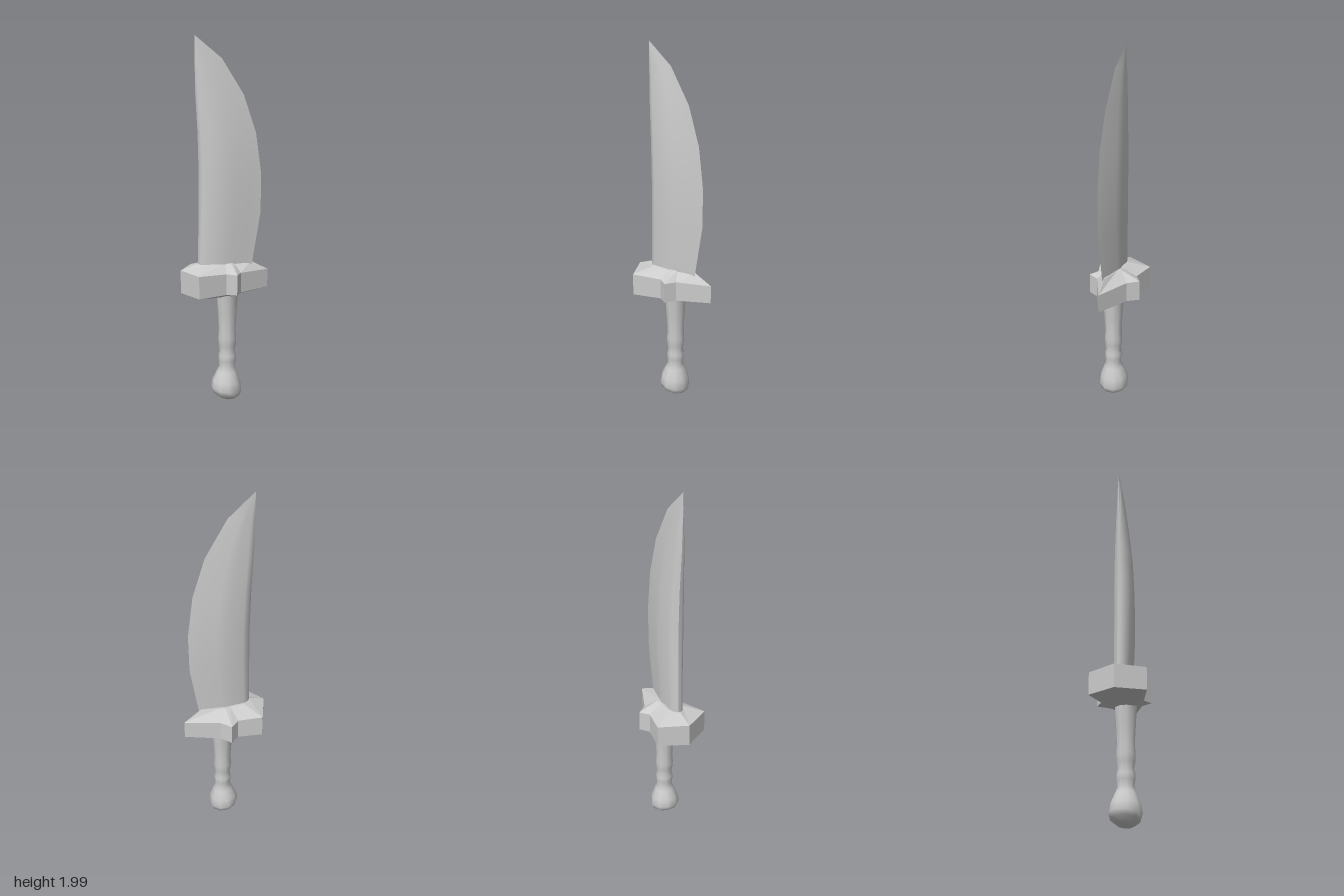
import * as THREE from 'three';
import { toCreasedNormals } from 'three/addons/utils/BufferGeometryUtils.js';

// Skin a stack of closed rings (bottom to top, each running from +x towards +z)
function loft(rings, crease) {
  const n = rings[0].length, index = [];
  for (let i = 0; i < rings.length - 1; i++) {
    for (let j = 0; j < n; j++) {
      const a = i * n + j, b = i * n + (j + 1) % n;
      index.push(a, a + n, b, b, a + n, b + n);
    }
  }
  const geo = new THREE.BufferGeometry();
  geo.setAttribute('position', new THREE.Float32BufferAttribute(rings.flat(2), 3));
  geo.setIndex(index);
  return toCreasedNormals(geo, crease);
}

function addMesh(group, name, geometry) {
  const mesh = new THREE.Mesh(geometry, new THREE.MeshStandardMaterial({ color: 0xcccccc }));
  mesh.name = name;
  group.add(mesh);
}

// Curved blade: sharp edge on +x, blunt spine on -x, shallow ridge down each face
function bladeGeometry() {
  // [across: 0 spine to 1 edge, share of the thickness in z]
  const section = [
    [1, 0.01], [0.8, 0.022], [0.56, 0.043], [0.45, 0.047], [0.15, 0.055], [0.04, 0.03], [0, 0.008],
    [0, -0.008], [0.08, -0.033], [0.15, -0.04], [0.34, -0.036], [0.45, -0.039], [0.56, -0.03], [0.8, -0.012],
  ];
  // [height, spine x, edge x, thickness]
  const stations = [
    [0.76, -0.15, 0.145, 0.82], [0.8, -0.149, 0.151, 0.84], [1.07, -0.143, 0.195, 0.95],
    [1.28, -0.141, 0.197, 1], [1.5, -0.146, 0.167, 0.88], [1.7, -0.157, 0.1, 0.57],
    [1.885, -0.16, -0.017, 0.25], [2, -0.16, -0.16, 0],
  ];
  const rings = stations.map(([y, spine, edge, t]) =>
    section.map(([u, z]) => [spine + (edge - spine) * u, y, z * t]));
  return loft(rings, 0.75);
}

// Faceted cross guard: uneven star outline with sloping top and bottom
function guardGeometry() {
  const outline = [
    [0.243, -0.012], [0.073, 0.073], [0.04, 0.132], [-0.012, 0.102], [-0.168, 0.152],
    [-0.245, 0.003], [-0.168, -0.15], [-0.033, -0.12], [0.018, -0.157], [0.062, -0.098],
  ];
  const ring = (y, sx, sz, tilt, dx = 0) =>
    outline.map(([x, z]) => [x * sx + dx, y + x * tilt, z * sz]);
  return loft([
    ring(0.615, 0, 0, 0, 0.01), ring(0.617, 0.25, 0.35, 0, 0.01),
    ring(0.643, 1, 1, 0.015), ring(0.756, 1, 1, -0.035),
    ring(0.8, 0.6, 0.3, 0), ring(0.8, 0, 0, 0),
  ], 0.12);
}

// Turned grip with finger swells and a bulbous pommel
function handleGeometry() {
  const profile = [
    [0, 0.004], [0.045, 0.01], [0.077, 0.035], [0.086, 0.065], [0.078, 0.115], [0.055, 0.175],
    [0.043, 0.205], [0.049, 0.24], [0.049, 0.27], [0.042, 0.295], [0.049, 0.33], [0.051, 0.37],
    [0.047, 0.425], [0.053, 0.52], [0.06, 0.63],
  ].map(([r, y]) => new THREE.Vector2(r, y));
  const geo = new THREE.LatheGeometry(profile, 10);
  // The butt is slightly tilted, lower towards +x
  const p = geo.attributes.position;
  for (let i = 0; i < p.count; i++) {
    const w = Math.max(0, 1 - p.getY(i) / 0.2);
    p.setY(i, Math.max(0, p.getY(i) + w * (0.012 - p.getX(i) * 0.22)));
    p.setX(i, p.getX(i) + 0.012 - 0.008 * w);
  }
  geo.computeVertexNormals();
  return toCreasedNormals(geo, 1.2);
}

export function createModel() {
  const group = new THREE.Group();
  group.name = 'dagger';
  addMesh(group, 'blade', bladeGeometry());
  addMesh(group, 'guard', guardGeometry());
  addMesh(group, 'handle', handleGeometry());
  return group;
}
